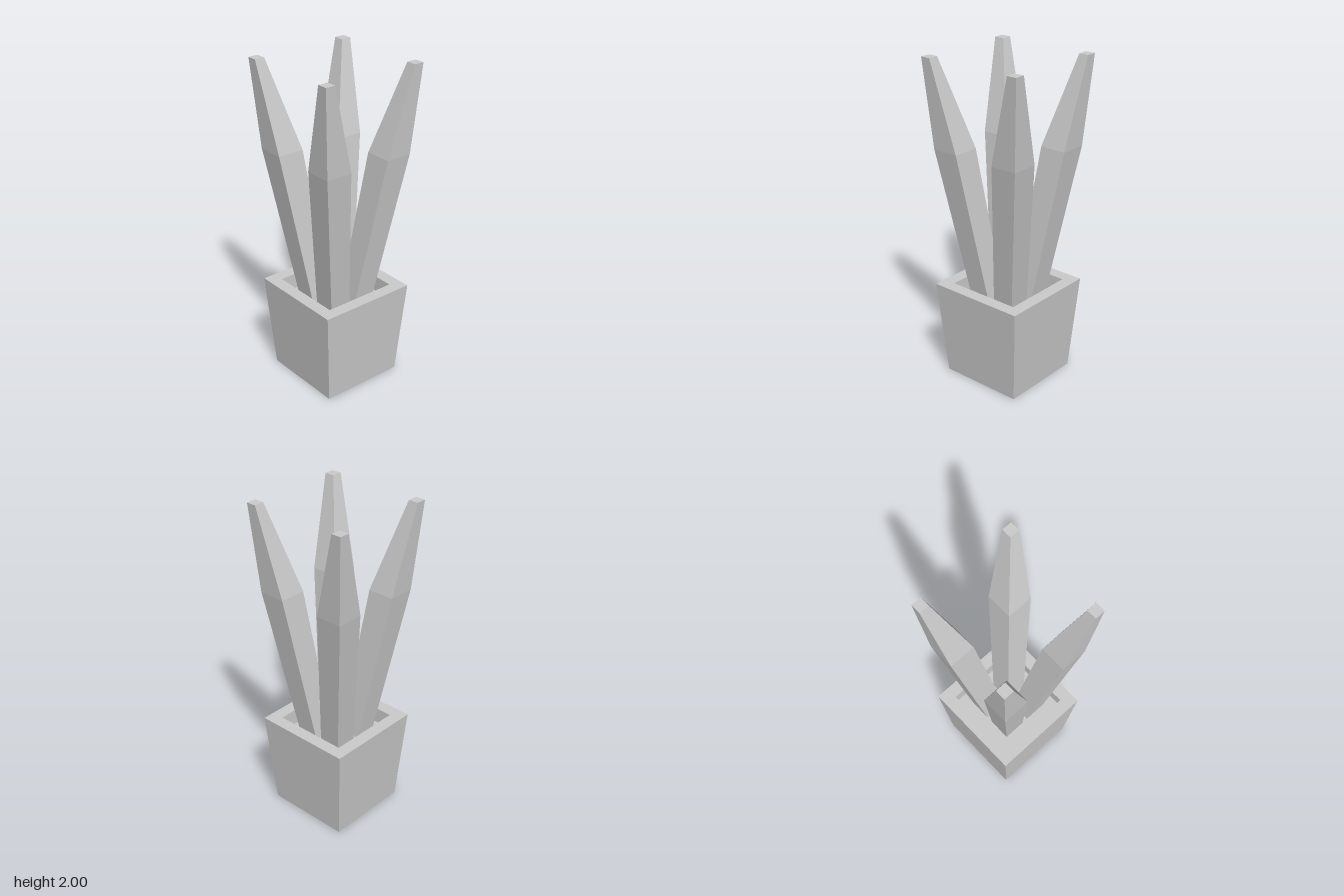
import * as THREE from 'three';

const material = new THREE.MeshStandardMaterial({ color: 0xcccccc, flatShading: true });

// Inner edge, outer edge and height of each square leaf section
const LEAF = [
  { inner: 0.02, outer: 0.157, y: 0.5 },
  { inner: 0.133, outer: 0.3, y: 1.46 },
  { inner: 0.278, outer: 0.34, y: 2 },
];

// A two-stage box whose sections lean out along the diagonal
function leafGeometry() {
  const geometry = new THREE.BoxGeometry(1, 1, 1, 1, 2, 1);
  const p = geometry.attributes.position;
  for (let i = 0; i < p.count; i++) {
    const s = LEAF[Math.round((p.getY(i) + 0.5) * 2)];
    const x = p.getX(i) > 0 ? s.outer : s.inner;
    const z = p.getZ(i) > 0 ? s.outer : s.inner;
    p.setXYZ(i, x, s.y, z);
  }
  const flat = geometry.toNonIndexed();
  flat.computeVertexNormals();
  return flat;
}

// Square tapered pot with a thick rim and a straight inner wall
function potGeometry() {
  const profile = [[0, 0], [0.265, 0], [0.31, 0.6], [0.233, 0.6], [0.233, 0.5]];
  const points = profile.map(([r, y]) => new THREE.Vector2(r * Math.SQRT2, y));
  const geometry = new THREE.LatheGeometry(points, 4).rotateY(Math.PI / 4).toNonIndexed();
  geometry.computeVertexNormals();
  return geometry;
}

export function createModel() {
  const model = new THREE.Group();
  model.name = 'pottedPlant';

  const add = (name, geometry) => {
    const mesh = new THREE.Mesh(geometry, material);
    mesh.name = name;
    model.add(mesh);
    return mesh;
  };

  add('pot', potGeometry());

  // Soil surface inside the rim
  add('soil', new THREE.PlaneGeometry(0.466, 0.466).rotateX(-Math.PI / 2)).position.y = 0.5;

  // Four leaves, one per quarter turn
  const leaf = leafGeometry();
  ['leafFrontLeft', 'leafBackLeft', 'leafBackRight', 'leafFrontRight'].forEach((name, i) => {
    add(name, leaf).rotation.y = (i * Math.PI) / 2;
  });

  return model;
}
